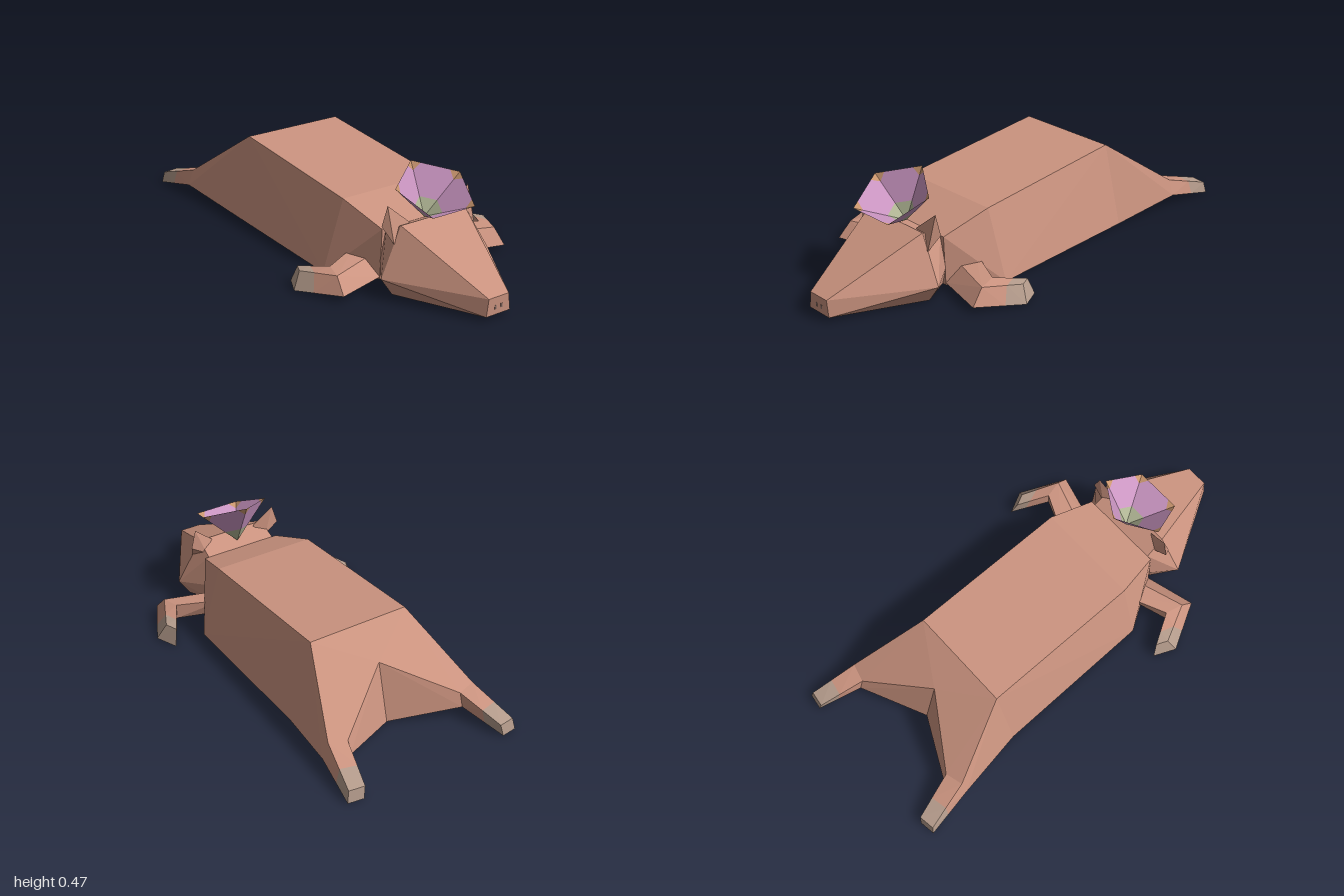
import * as THREE from 'three';
import { ConvexGeometry } from 'three/addons/geometries/ConvexGeometry.js';

const mat = (name, color, extra = {}) => {
  const m = new THREE.MeshStandardMaterial({ color, flatShading: true, ...extra });
  m.name = name;
  return m;
};

const V = ([x, y, z]) => new THREE.Vector3(x, y, z);
const mirror = (pts, s) => pts.map(([x, y, z]) => [x * s, y, z]);
const both = (pts) => [...pts, ...mirror(pts, -1)];
const mix = (a, b, t) => a.map((v, i) => v + (b[i] - v) * t);
const mixAll = (a, b, t) => a.map((p, i) => mix(p, b[i], t));

export function createModel() {
  const group = new THREE.Group();
  const skin = mat('skin', 0xcc9480);
  const paw = mat('paw', 0xb59c8c);
  const nostril = mat('nostril', 0x8c7068);
  const side = { side: THREE.DoubleSide };
  const pink = mat('petal pink', 0xcb96c2, side);
  const tan = mat('petal tip tan', 0xcb976f, side);
  const green = mat('flower centre green', 0xb0b594, side);

  // A faceted solid spanned by its corner points
  const solid = (name, pts, material) => {
    const mesh = new THREE.Mesh(new ConvexGeometry(pts.map(V)), material);
    mesh.name = name;
    group.add(mesh);
  };

  // Trunk: chest, shoulders, rump
  solid('body', both([
    [0.19, 0.24, 0.5], [0.2, 0.02, 0.5],
    [0.235, 0.312, 0.29], [0.33, 0, 0.28],
    [0.235, 0.36, -0.45], [0.33, 0, -0.45],
  ]), skin);

  // Head: snout, cheeks, nape
  solid('head', both([
    [0.05, 0.095, 1], [0.06, 0.02, 1],
    [0.165, 0.283, 0.59], [0.275, 0.085, 0.61], [0.22, 0.003, 0.61],
    [0.17, 0.24, 0.5], [0.2, 0.1, 0.5], [0.18, 0.02, 0.5],
  ]), skin);

  // Leg cross-sections, left side
  const hipEnd = [[0.36, 0.12, -0.77], [0.385, 0.05, -0.77], [0.28, 0.05, -0.81], [0.28, 0.11, -0.79]];
  const footEnd = [[0.405, 0.052, -0.98], [0.415, 0, -0.99], [0.345, 0, -1], [0.335, 0.052, -0.99]];
  const shoulder = [[0.2, 0.1, 0.43], [0.2, 0.03, 0.5], [0.2, 0.03, 0.36], [0.2, 0.11, 0.33]];
  const elbow = [[0.41, 0.095, 0.5], [0.42, 0.03, 0.56], [0.39, 0.03, 0.42], [0.39, 0.1, 0.42]];
  const handEnd = [[0.485, 0.075, 0.34], [0.525, 0.005, 0.36], [0.48, 0, 0.265], [0.462, 0.072, 0.29]];
  const ankle = mixAll(hipEnd, footEnd, 0.55);
  const wrist = mixAll(elbow, handEnd, 0.6);

  for (const [label, s] of [['left', 1], ['right', -1]]) {
    const part = (name, pts, m) => solid(label + name, mirror(pts, s), m);
    part('Haunch', [
      [0, 0.36, -0.45], [0.235, 0.36, -0.45], [0.33, 0, -0.45], [0, 0, -0.45],
      [0, 0.26, -0.6], [0, 0, -0.67], ...hipEnd,
    ], skin);
    part('HindLeg', [...hipEnd, ...ankle], skin);
    part('HindFoot', [...ankle, ...footEnd], paw);
    part('UpperArm', [...shoulder, ...elbow], skin);
    part('Forearm', [...elbow, ...wrist], skin);
    part('FrontPaw', [...wrist, ...handEnd], paw);
    part('Ear', [
      [0.205, 0.365, 0.555], [0.23, 0.28, 0.55], [0.205, 0.215, 0.6],
      [0.11, 0.28, 0.575], [0.16, 0.24, 0.54],
    ], skin);

    const hole = new THREE.Mesh(new THREE.BoxGeometry(0.008, 0.018, 0.004), nostril);
    hole.name = label + 'Nostril';
    hole.position.set(s * 0.015, 0.052, 0.999);
    group.add(hole);
  }

  // Flower: hollow five-sided cup with a green centre and tan tips
  const apex = [0, 0.26, 0.53];
  const rim = [[0, 0.475, 0.435], [0.165, 0.425, 0.55], [0.105, 0.345, 0.72],
    [-0.105, 0.345, 0.72], [-0.165, 0.425, 0.55]];
  const tris = { centre: [], petals: [], tips: [] };
  const fan = (list, ...p) => {
    for (let i = 1; i < p.length - 1; i++) list.push(...p[0], ...p[i], ...p[i + 1]);
  };
  rim.forEach((a, i) => {
    const b = rim[(i + 1) % 5];
    const ga = mix(apex, a, 0.36), gb = mix(apex, b, 0.36);
    const ra = mix(apex, a, 0.82), rb = mix(apex, b, 0.82);
    const ea = mix(a, b, 0.2), eb = mix(a, b, 0.8);
    fan(tris.centre, apex, gb, ga);
    fan(tris.petals, ga, gb, rb, eb, ea, ra);
    fan(tris.tips, a, ra, ea);
    fan(tris.tips, b, eb, rb);
  });
  const flower = new THREE.Group();
  flower.name = 'flower';
  for (const [name, m] of [['centre', green], ['petals', pink], ['tips', tan]]) {
    const g = new THREE.BufferGeometry();
    g.setAttribute('position', new THREE.Float32BufferAttribute(tris[name], 3));
    g.computeVertexNormals();
    const mesh = new THREE.Mesh(g, m);
    mesh.name = name;
    flower.add(mesh);
  }
  group.add(flower);
  return group;
}
